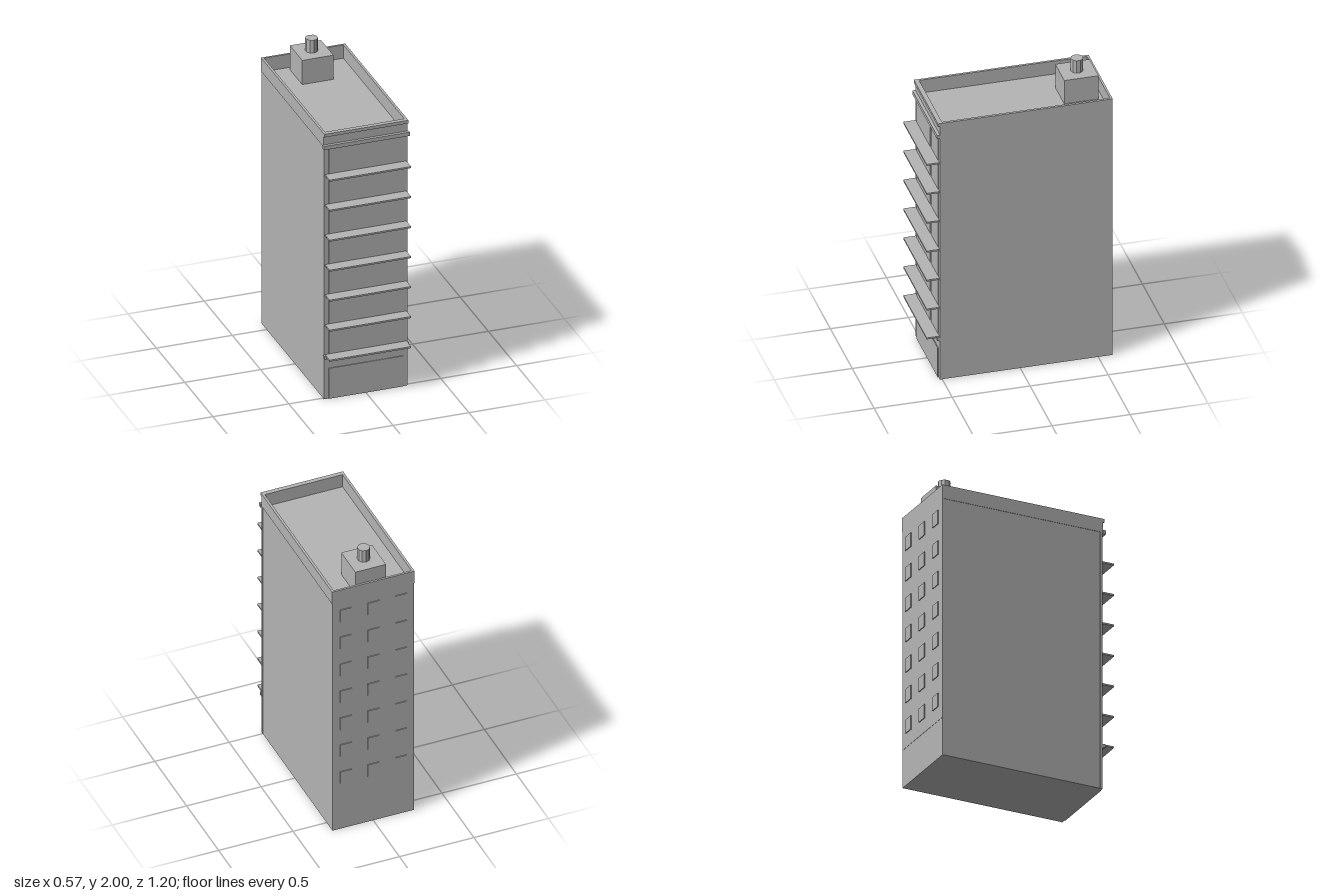
import * as THREE from 'three';

export function createModel() {
  const model = new THREE.Group();
  const concrete = new THREE.MeshStandardMaterial({ color: 0xb4b4b4 });
  concrete.name = 'concrete grey';

  // Box given by its limits on each axis
  function block(name, [x0, x1], [y0, y1], [z0, z1], parent = model) {
    const mesh = new THREE.Mesh(new THREE.BoxGeometry(x1 - x0, y1 - y0, z1 - z0), concrete);
    mesh.position.set((x0 + x1) / 2, (y0 + y1) / 2, (z0 + z1) / 2);
    mesh.name = name;
    parent.add(mesh);
    return mesh;
  }
  function group(name) {
    const g = new THREE.Group();
    g.name = name;
    model.add(g);
    return g;
  }

  const floors = 7, firstFloor = 0.302, floorHeight = 0.2075, roofY = 1.745;

  // Main volume, front facade slab and rear wall facing
  block('towerBody', [-0.274, 0.274], [0, roofY], [-0.59, 0.5]);
  block('frontFacade', [-0.276, 0.276], [0, roofY], [0.5, 0.516]);
  block('rearFacing', [-0.274, 0.274], [0.255, roofY], [-0.592, -0.59]);

  // Hollow roof parapet
  const outline = new THREE.Shape([
    [-0.277, -0.516], [0.277, -0.516], [0.277, 0.592], [-0.277, 0.592],
  ].map(([x, y]) => new THREE.Vector2(x, y)));
  outline.holes.push(new THREE.Path([
    [-0.261, -0.498], [-0.261, 0.578], [0.261, 0.578], [0.261, -0.498],
  ].map(([x, y]) => new THREE.Vector2(x, y))));
  const parapet = new THREE.Mesh(
    new THREE.ExtrudeGeometry(outline, { depth: 1.838 - roofY, bevelEnabled: false }), concrete);
  parapet.rotation.x = -Math.PI / 2;
  parapet.position.y = roofY;
  parapet.name = 'parapet';
  model.add(parapet);

  // Horizontal mouldings on the front
  block('parapetCoping', [-0.277, 0.277], [1.817, 1.838], [0.516, 0.528]);
  block('cornice', [-0.283, 0.283], [1.733, 1.759], [0.513, 0.536]);
  block('stringCourse', [-0.279, 0.279], [0.28, 0.304], [0.513, 0.533]);

  // Shopfront, floor panels and balcony slabs
  block('shopfront', [-0.245, 0.245], [0, 0.21], [0.516, 0.521]);
  const balconies = group('balconies');
  const panels = group('frontPanels');
  const rearWindows = group('rearWindows');
  for (let i = 0; i < floors; i++) {
    const y = firstFloor + i * floorHeight;
    block('balconySlab', [-0.268, 0.268], [y - 0.005, y + 0.006], [0.514, 0.598], balconies);
    block('wideWindow', [-0.245, 0.065], [y + 0.01, y + 0.192], [0.516, 0.521], panels);
    block('narrowWindow', [0.08, 0.245], [y + 0.01, y + 0.192], [0.516, 0.519], panels);
    for (const x of [-0.185, 0, 0.185]) {
      block('rearWindow', [x - 0.038, x + 0.038], [y + 0.047, y + 0.139], [-0.598, -0.592], rearWindows);
    }
  }

  // Rooftop plant room with its flue
  block('plantRoom', [-0.103, 0.103], [roofY, 1.912], [-0.55, -0.33]);
  const flueGeometry = new THREE.CylinderGeometry(0.04, 0.04, 0.09, 10).toNonIndexed();
  flueGeometry.computeVertexNormals();
  const flue = new THREE.Mesh(flueGeometry, concrete);
  flue.position.set(0, 1.955, -0.44);
  flue.name = 'flue';
  model.add(flue);

  return model;
}
